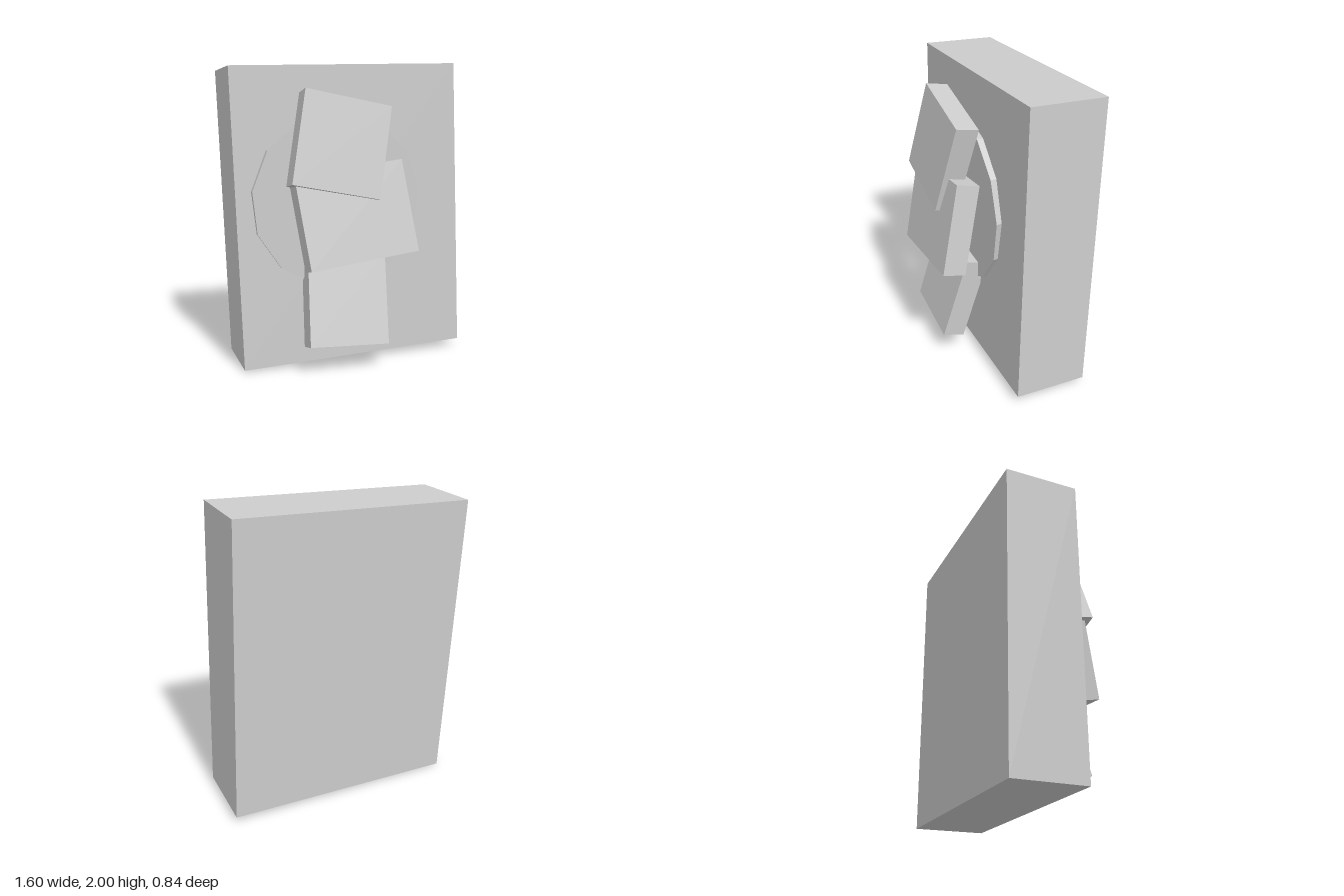
import * as THREE from 'three';

const grey = new THREE.MeshStandardMaterial({ color: 0xcccccc });
grey.name = 'plain grey';

// Box whose width runs along `across` and height along `up`, centred at `centre`
function tiltedBox(name, size, centre, across, up) {
  const x = new THREE.Vector3(...across).normalize();
  const z = x.clone().cross(new THREE.Vector3(...up)).normalize();
  const y = z.clone().cross(x);
  const mesh = new THREE.Mesh(new THREE.BoxGeometry(...size), grey);
  mesh.name = name;
  mesh.quaternion.setFromRotationMatrix(new THREE.Matrix4().makeBasis(x, y, z));
  mesh.position.set(...centre);
  return mesh;
}

export function createModel() {
  const model = new THREE.Group();
  model.name = 'reliefPanel';

  // Thick backing slab, slightly tilted
  model.add(tiltedBox('backingSlab', [1.55, 1.95, 0.485], [0, 1.002, -0.155],
    [1, 0.028, 0], [-0.027, 1, -0.024]));

  // Flat thirteen-sided disc set into the slab's front
  const discGeometry = new THREE.CylinderGeometry(0.578, 0.578, 0.08, 13)
    .rotateX(-Math.PI / 2).toNonIndexed();
  discGeometry.computeVertexNormals();
  const disc = new THREE.Mesh(discGeometry, grey);
  disc.name = 'disc';
  disc.position.set(-0.105, 1.102, 0.078);
  disc.rotation.set(-0.005, 0, -0.013);
  model.add(disc);

  // Three overlapping blocks leaning out from the disc
  model.add(
    tiltedBox('upperBlock', [0.578, 0.605, 0.15], [-0.136, 1.464, 0.233],
      [0.566, -0.112, 0.024], [0.114, 0.584, -0.107]),
    tiltedBox('middleBlock', [0.725, 0.601, 0.153], [-0.0565, 1.026, 0.283],
      [0.72, 0.085, 0], [-0.069, 0.582, -0.132]),
    tiltedBox('lowerBlock', [0.53, 0.604, 0.152], [-0.089, 0.457, 0.203],
      [0.529, -0.027, 0.015], [0.037, 0.58, -0.165]),
  );

  return model;
}
